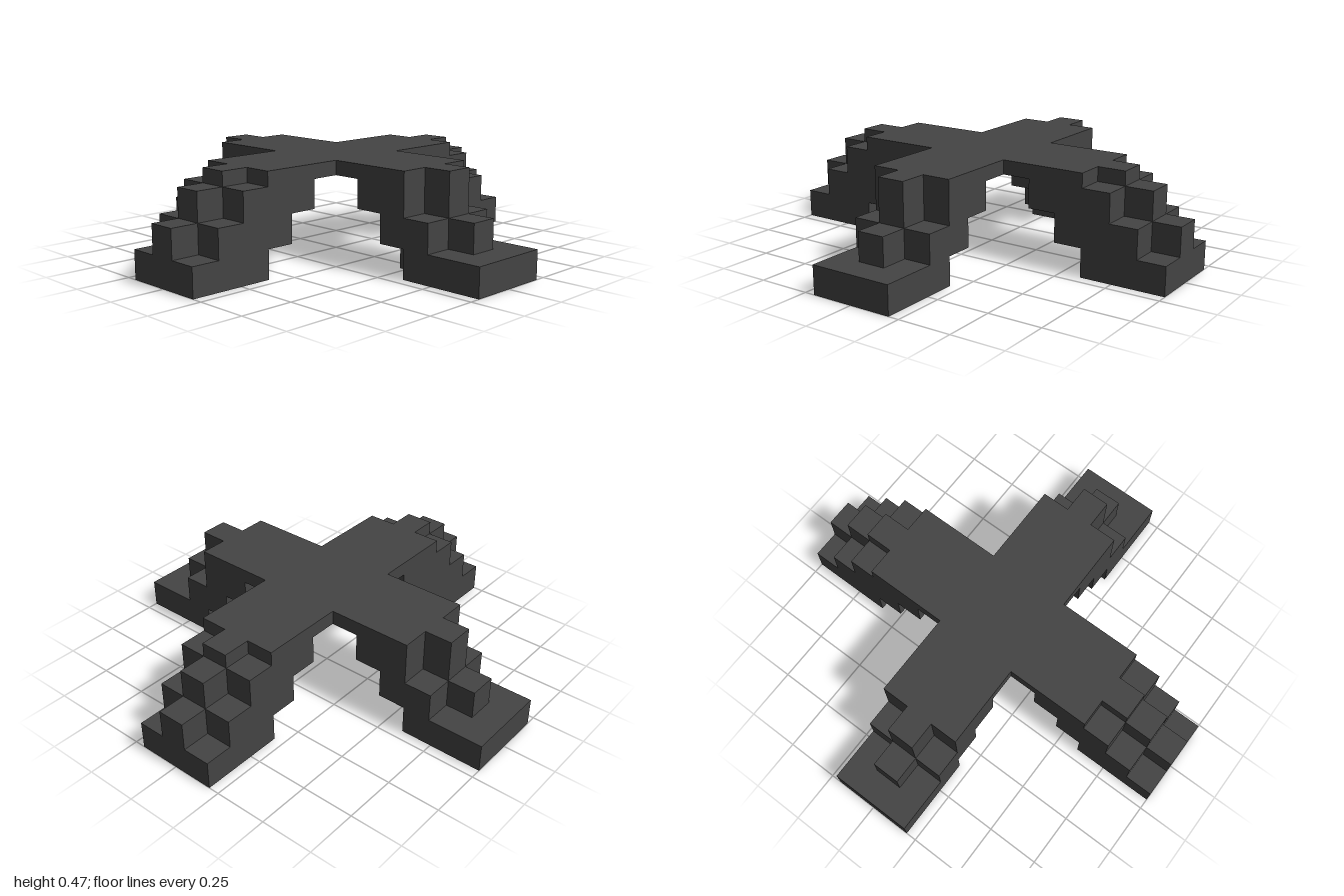
import * as THREE from 'three';

const U = 2 / 15; // one block

export function createModel() {
  const model = new THREE.Group();
  model.name = 'steppedCrossArch';
  const charcoal = new THREE.MeshStandardMaterial({ color: 0x444444 });
  charcoal.name = 'charcoal';

  // Stepped outline in block units, three blocks wide, centred on z = 0
  function profile(name, points, parent) {
    const shape = new THREE.Shape(points.map(([x, y]) => new THREE.Vector2(x * U, y * U)));
    const geometry = new THREE.ExtrudeGeometry(shape, { depth: 3 * U, bevelEnabled: false });
    geometry.translate(0, 0, -1.5 * U);
    const mesh = new THREE.Mesh(geometry, charcoal);
    mesh.name = name;
    parent.add(mesh);
  }

  // One-block-wide piece on the centre line of an arm
  function centreBlock(name, x0, x1, y0, y1, parent) {
    const mesh = new THREE.Mesh(new THREE.BoxGeometry((x1 - x0) * U, (y1 - y0) * U, U), charcoal);
    mesh.name = name;
    mesh.position.set((x0 + x1) / 2 * U, (y0 + y1) / 2 * U, 0);
    parent.add(mesh);
  }

  function arm(name, angle) {
    const group = new THREE.Group();
    group.name = name;
    group.rotation.y = angle;
    model.add(group);
    return group;
  }

  // Main arch, running left to right through the hub
  const half = [
    [2.5, 3], [2.5, 2], [3.5, 2], [3.5, 1], [4.5, 1], [4.5, 0], [7.5, 0],
    [7.5, 1], [6.5, 1], [6.5, 2], [5.5, 2], [5.5, 3], [4.5, 3], [4.5, 3.5],
  ];
  const mirrored = half.map(([x, y]) => [-x, y]).reverse();
  profile('mainArch', [...half, ...mirrored], model);

  // Raised centre steps at each end of the main arch
  for (const [name, angle] of [['leftSteps', 0], ['rightSteps', Math.PI]]) {
    const steps = arm(name, angle);
    centreBlock('upperStep', 4.5, 5.5, 3, 3.5, steps);
    centreBlock('middleStep', 5.5, 6.5, 2, 3, steps);
    centreBlock('lowerStep', 6.5, 7.5, 1, 2, steps);
  }

  // Front and back legs, with long feet
  const leg = [
    [1.5, 3], [2.5, 3], [2.5, 2], [3.5, 2], [3.5, 1], [4.5, 1], [4.5, 0],
    [7.5, 0], [7.5, 1], [5.5, 1], [5.5, 2], [4.5, 2], [4.5, 3.5], [1.5, 3.5],
  ];
  for (const [name, angle] of [['frontLeg', -Math.PI / 2], ['backLeg', Math.PI / 2]]) {
    const group = arm(name, angle);
    profile('legBody', leg, group);
    centreBlock('shin', 4.5, 5.5, 2, 3.5, group);
    centreBlock('toeStep', 5.5, 6.5, 1, 2, group);
    centreBlock('heel', 3.5, 4.5, 0, 1, group);
  }

  return model;
}
